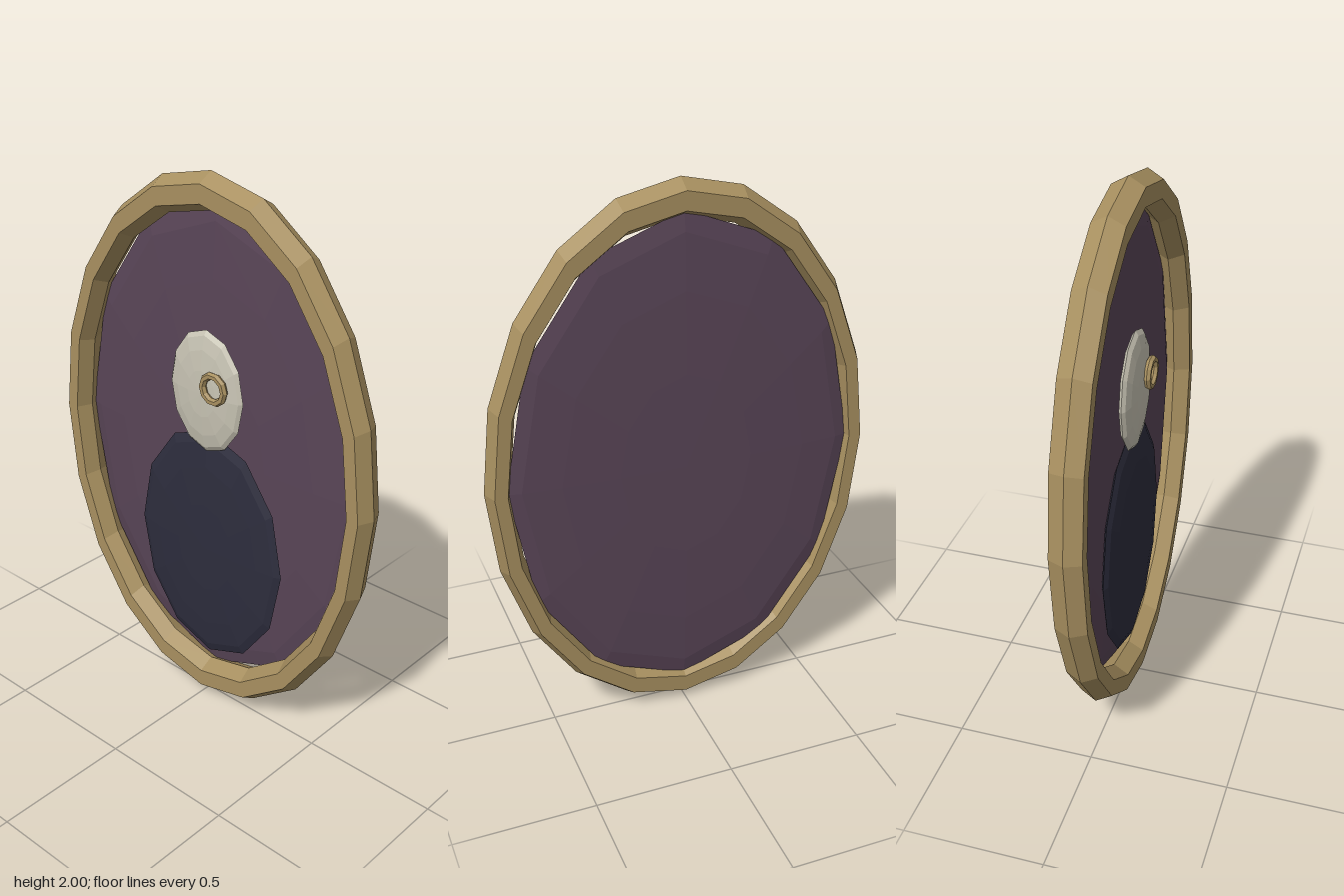
import * as THREE from 'three';

const paint = (name, color) => {
  const m = new THREE.MeshStandardMaterial({ color, flatShading: true });
  m.name = name;
  return m;
};

export function createModel() {
  const group = new THREE.Group();
  group.name = 'ovalPortrait';
  const gold = paint('antiqueGold', 0xa89060);
  const plum = paint('plum', 0x594557);
  const navy = paint('darkNavy', 0x2d2d3d);
  const ivory = paint('ivory', 0xc8c4b4);

  const add = (name, geometry, material, x, y, z) => {
    const mesh = new THREE.Mesh(geometry, material);
    mesh.name = name;
    mesh.position.set(x, y, z);
    group.add(mesh);
  };

  // Shallow twelve-sided oval dome, its poles facing front and back
  const oval = (rx, ry, rz) =>
    new THREE.SphereGeometry(1, 12, 8).rotateX(Math.PI / 2).scale(rx, ry, rz);

  // Hexagonal-section oval frame
  add('frame', new THREE.TorusGeometry(0.935, 0.065, 6, 20).scale(0.7, 1, 1), gold, 0, 1, -0.008);

  // Backing panel set into the rear of the frame
  add('backing', oval(0.63, 0.9, 0.03), plum, 0, 1, -0.04);

  // Sitter: shoulders and head
  add('body', oval(0.335, 0.46, 0.03), navy, 0, 0.63, 0);
  add('head', oval(0.165, 0.225, 0.03), ivory, 0, 1.245, 0.015);

  // Eyepiece ring over the sitter's left eye
  add('eyepiece', new THREE.TorusGeometry(0.048, 0.0135, 6, 10), gold, 0.065, 1.285, 0.053);

  return group;
}
